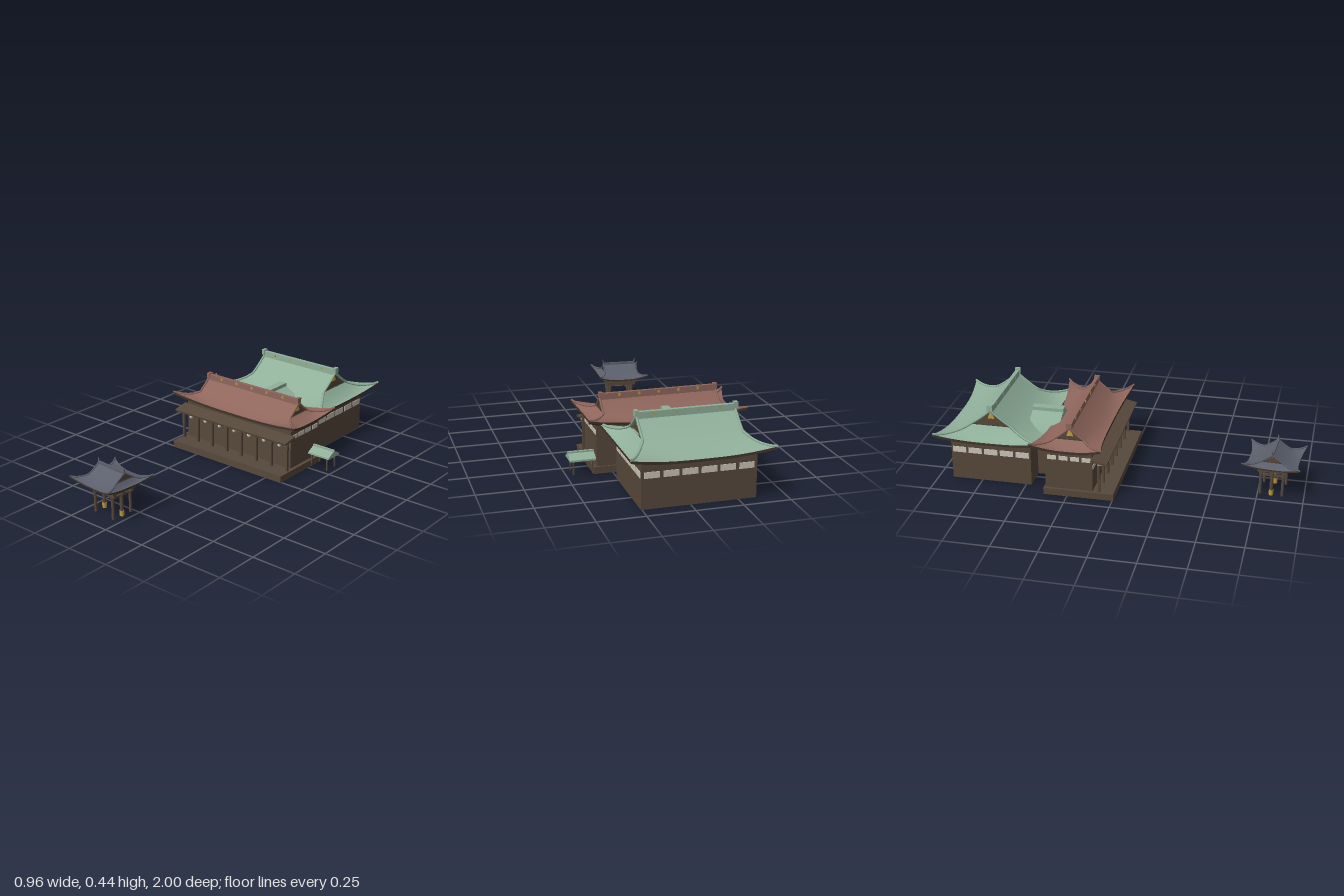
import * as THREE from 'three';

const mat = (name, color, side = THREE.FrontSide) => {
  const m = new THREE.MeshStandardMaterial({ color, side });
  m.name = name;
  return m;
};
const wood = mat('brown wood', 0x57483b);
const darkWood = mat('dark wood', 0x403429, THREE.DoubleSide);
const redTile = mat('red roof', 0x8f665c, THREE.DoubleSide);
const greenTile = mat('green roof', 0x90b09a, THREE.DoubleSide);
const slateTile = mat('slate roof', 0x5c606c, THREE.DoubleSide);
const gold = mat('gold', 0xb8983f);
const plaster = mat('white plaster', 0xccc5b8);

function add(parent, name, geo, material, x = 0, y = 0, z = 0) {
  const m = new THREE.Mesh(geo, material);
  m.name = name;
  m.position.set(x, y, z);
  parent.add(m);
  return m;
}

// Box given by its extents on each axis
function box(parent, name, material, [x0, x1], [y0, y1], [z0, z1]) {
  return add(parent, name, new THREE.BoxGeometry(x1 - x0, y1 - y0, z1 - z0), material,
    (x0 + x1) / 2, (y0 + y1) / 2, (z0 + z1) / 2);
}

function group(parent, name, x = 0, y = 0, z = 0) {
  const g = new THREE.Group();
  g.name = name;
  g.position.set(x, y, z);
  parent.add(g);
  return g;
}

// Smooth grid surface; fn(a, b) gives a point for a, b in 0..1
function patch(parent, name, material, fn, na, nb) {
  const pos = [], idx = [];
  for (let i = 0; i <= na; i++) for (let j = 0; j <= nb; j++) {
    pos.push(...fn(i / na, j / nb));
    if (i < na && j < nb) {
      const p = i * (nb + 1) + j, q = p + nb + 1;
      idx.push(p, q, p + 1, p + 1, q, q + 1);
    }
  }
  const g = new THREE.BufferGeometry();
  g.setAttribute('position', new THREE.Float32BufferAttribute(pos, 3));
  g.setIndex(idx);
  g.computeVertexNormals();
  return add(parent, name, g, material);
}

// Curved hip-and-gable roof with lifted corners, ridge along x.
// gx: gable half width, ex/ez: eave half sizes, ix/iz: wall half sizes
function makeRoof(parent, name, material, o) {
  const g = group(parent, name, 0, 0, o.z);
  const { gx, ex, ez, t0, flare, lift, ridgeY, eaveY, ix, iz, thick } = o;
  const grow = t => Math.max(0, (t - t0) / (1 - t0));
  const Y = t => eaveY + (ridgeY - eaveY) * Math.pow(1 - t, 1.55);
  const X = t => gx + (ex - gx) * grow(t);
  const D = t => ez * t;
  const bend = (t, u) => Math.pow(Math.abs(u), 3) * grow(t) ** 2;
  const longPt = (t, u, s) => {
    const k = bend(t, u);
    return [s * u * (X(t) + flare * k), Y(t) + lift * k, s * (D(t) + flare * k)];
  };
  const shortPt = (t, u, s) => {
    const k = bend(t, u);
    return [s * (X(t) + flare * k), Y(t) + lift * k, -s * u * (D(t) + flare * k)];
  };
  for (const s of [1, -1]) {
    const sides = [[longPt, 0, u => [s * u * ix, s * iz]], [shortPt, t0, u => [s * ix, -s * u * iz]]];
    for (const [pt, start, inner] of sides) {
      const down = (t, u) => { const p = pt(t, u, s); p[1] -= thick; return p; };
      if (start === 0)
        patch(g, 'upperSlope', material, (a, b) => pt(a * t0, b * 2 - 1, s), 8, 2);
      patch(g, 'lowerSlope', material, (a, b) => pt(t0 + a * (1 - t0), b * 2 - 1, s), 10, 20);
      patch(g, 'eaveEdge', darkWood, (a, b) => a ? down(1, b * 2 - 1) : pt(1, b * 2 - 1, s), 1, 20);
      patch(g, 'soffit', darkWood, (a, b) => {
        const u = b * 2 - 1, p = down(1, u), [x, z] = inner(u);
        return [p[0] + (x - p[0]) * a, p[1] + (eaveY - thick + 0.004 - p[1]) * a, p[2] + (z - p[2]) * a];
      }, 4, 20);
    }
    // Gable wall with a gilded ornament
    patch(g, 'gable', wood, (a, b) => [s * (gx - 0.012), Y(a * t0) - 0.002, -s * (b * 2 - 1) * D(a * t0)], 8, 2);
    if (o.ornament) {
      const orn = add(g, 'gableOrnament', new THREE.CylinderGeometry(0.012, 0.026, 0.03, 4).rotateY(Math.PI / 4),
        gold, s * (gx - 0.01), o.ornament, 0);
      orn.scale.x = 0.2;
    }
    // Descending ribs along gable edges and hips
    for (const e of [1, -1]) {
      const pts = [];
      for (let i = 0; i <= 14; i++) {
        const t = i / 14, k = grow(t) ** 2;
        pts.push(new THREE.Vector3(s * (X(t) + flare * k), Y(t) + lift * k + o.rib * 0.4, e * (D(t) + flare * k)));
      }
      add(g, 'hipRib', new THREE.TubeGeometry(new THREE.CatmullRomCurve3(pts), 28, o.rib, 6), material);
    }
  }
  box(g, 'ceiling', darkWood, [-ix, ix], [eaveY - thick, eaveY - thick + 0.008], [-iz, iz]);
  box(g, 'ridge', material, [-gx, gx], [ridgeY - 0.012, o.ridgeTop], [-o.ridgeW, o.ridgeW]);
  return g;
}

// Ridge end blocks and gold studs on both faces of the ridge
function dressRidge(roof, material, endX, y0, y1, studs, studY, size, w) {
  for (const s of [1, -1]) {
    box(roof, 'ridgeEnd', material, [s * endX - 0.01, s * endX + 0.01], [y0, y1], [-0.015, 0.015]);
    for (const x of studs)
      add(roof, 'ridgeStud', new THREE.BoxGeometry(size, size, 0.004), gold, x, studY, s * (w + 0.001));
  }
}

// Gable roof cross-section with concave slopes, extruded along z from 0 to length
function gableGeometry(half, eave, ridge, power, length) {
  const curve = [];
  for (let i = -8; i <= 8; i++)
    curve.push(new THREE.Vector2(half * i / 8, eave + (ridge - eave) * Math.pow(1 - Math.abs(i) / 8, power)));
  const under = [new THREE.Vector2(half, eave - 0.01), new THREE.Vector2(-half, eave - 0.01)];
  return new THREE.ExtrudeGeometry(new THREE.Shape([...curve, ...under]), { depth: length, bevelEnabled: false });
}

function buildFrontHall(root) {
  const g = group(root, 'frontHall', -0.04);
  box(g, 'platform', wood, [-0.39, 0.395], [0, 0.038], [-0.38, 0.005]);
  box(g, 'hallWalls', wood, [-0.375, 0.375], [0.038, 0.262], [-0.37, -0.11]);
  // Porch: posts, beam, pent roof and wall panels
  const step = 0.75 / 7;
  for (let i = 0; i < 8; i++) {
    const x = -0.375 + i * step;
    box(g, 'porchPost', wood, [x - 0.007, x + 0.007], [0.038, 0.215], [-0.082, -0.068]);
    if (i === 7) break;
    box(g, 'frontPanel', plaster, [x + 0.01, x + step - 0.01], [0.165, 0.192], [-0.111, -0.107]);
    const lamp = add(g, 'lantern', new THREE.SphereGeometry(0.01, 12, 8), plaster, x + step / 2, 0.18, -0.075);
    lamp.scale.y = 1.3;
  }
  box(g, 'porchBeam', wood, [-0.385, 0.385], [0.192, 0.207], [-0.081, -0.069]);
  const pent = add(g, 'pentRoof', new THREE.BoxGeometry(0.8, 0.012, 0.09), wood, 0, 0.224, -0.07);
  pent.rotation.x = 0.2;
  for (const s of [1, -1]) {
    box(g, 'beamCap', gold, [s * 0.378 - 0.008, s * 0.378 + 0.008], [0.203, 0.212], [-0.08, -0.058]);
    for (let i = 0; i < 4; i++)
      add(g, 'sidePanel', new THREE.BoxGeometry(0.004, 0.025, 0.05), plaster, s * 0.376, 0.222, -0.143 - i * 0.063);
  }
  const roof = makeRoof(g, 'redRoof', redTile, {
    z: -0.245, gx: 0.325, ex: 0.4, ez: 0.16, t0: 0.5, flare: 0.035, lift: 0.04, ridgeY: 0.375, eaveY: 0.274,
    ix: 0.37, iz: 0.125, thick: 0.014, rib: 0.006, ridgeTop: 0.399, ridgeW: 0.01, ornament: 0.343 });
  dressRidge(roof, redTile, 0.32, 0.378, 0.405, [-0.22, -0.11, 0, 0.11, 0.22], 0.387, 0.014, 0.01);
}

function buildRearHall(root) {
  const g = group(root, 'rearHall', -0.045);
  // Four thin walls, open underneath
  for (const s of [1, -1]) {
    box(g, 'endWall', wood, [s * 0.295 - 0.005, s * 0.295 + 0.005], [0, 0.246], [-0.92, -0.47]);
    const z = -0.695 + s * 0.22;
    box(g, 'longWall', wood, [-0.29, 0.29], [0, 0.246], [z - 0.005, z + 0.005]);
    for (let i = 0; i < 5; i++)
      add(g, 'endPanel', new THREE.BoxGeometry(0.004, 0.033, 0.075), plaster, s * 0.301, 0.177, -0.517 - i * 0.089);
  }
  for (let i = 0; i < 6; i++)
    add(g, 'backPanel', new THREE.BoxGeometry(0.08, 0.033, 0.004), plaster, -0.245 + i * 0.098, 0.177, -0.921);
  const roof = makeRoof(g, 'greenRoof', greenTile, {
    z: -0.7, gx: 0.26, ex: 0.345, ez: 0.27, t0: 0.42, flare: 0.027, lift: 0.035, ridgeY: 0.405, eaveY: 0.252,
    ix: 0.29, iz: 0.215, thick: 0.014, rib: 0.007, ridgeTop: 0.431, ridgeW: 0.011, ornament: 0.372 });
  dressRidge(roof, greenTile, 0.262, 0.408, 0.44, [-0.174, -0.059, 0.056, 0.172], 0.418, 0.011, 0.011);
}

function buildPassage(root) {
  const g = group(root, 'passage', -0.04);
  box(g, 'passageWalls', wood, [-0.17, 0.17], [0, 0.25], [-0.475, -0.365]);
  add(g, 'passageRoof', gableGeometry(0.2, 0.255, 0.33, 1.6, 0.175), greenTile, 0, 0, -0.535);
  box(g, 'passageRidge', greenTile, [-0.022, 0.022], [0.315, 0.337], [-0.537, -0.358]);
}

function buildSidePorch(root) {
  const g = group(root, 'sidePorch', 0, 0, -0.322);
  const roof = add(g, 'sidePorchRoof', gableGeometry(0.052, 0.085, 0.112, 1, 0.14), greenTile, 0.34);
  roof.rotation.y = Math.PI / 2;
  box(g, 'sidePorchRidge', greenTile, [0.34, 0.482], [0.106, 0.118], [-0.006, 0.006]);
  box(g, 'sidePorchGable', wood, [0.35, 0.47], [0.07, 0.077], [-0.042, 0.042]);
  for (const x of [0.355, 0.46]) for (const s of [1, -1])
    box(g, 'sidePorchPost', wood, [x - 0.004, x + 0.004], [0, 0.08], [s * 0.037 - 0.004, s * 0.037 + 0.004]);
}

function buildGate(root) {
  const g = group(root, 'gate', -0.115, 0, 0.828);
  g.rotation.y = -0.07;
  const post = (name, m, r, y0, y1, x, z) =>
    add(g, name, new THREE.CylinderGeometry(r, r, y1 - y0, 12), m, x, (y0 + y1) / 2, z);
  for (const s of [1, -1]) {
    post('mainPost', wood, 0.01, 0, 0.165, s * 0.068, 0);
    post('postFoot', gold, 0.0125, 0, 0.03, s * 0.068, 0);
    for (const e of [1, -1]) post('sidePost', wood, 0.008, 0, 0.15, s * 0.068, e * 0.06);
    box(g, 'crossTie', wood, [s * 0.068 - 0.005, s * 0.068 + 0.005], [0.112, 0.124], [-0.07, 0.07]);
    box(g, 'frontBeam', wood, [-0.09, 0.09], [0.126, 0.146], [s * 0.06 - 0.008, s * 0.06 + 0.008]);
  }
  box(g, 'mainBeam', wood, [-0.09, 0.09], [0.126, 0.146], [-0.009, 0.009]);
  box(g, 'upperFrame', wood, [-0.097, 0.097], [0.146, 0.17], [-0.078, 0.078]);
  // Sagging rope across the opening
  const rope = new THREE.QuadraticBezierCurve3(new THREE.Vector3(-0.058, 0.118, 0.01),
    new THREE.Vector3(0, 0.086, 0.014), new THREE.Vector3(0.058, 0.118, 0.01));
  add(g, 'rope', new THREE.TubeGeometry(rope, 20, 0.0045, 8), gold);
  const roof = makeRoof(g, 'slateRoof', slateTile, {
    z: 0, gx: 0.098, ex: 0.128, ez: 0.134, t0: 0.45, flare: 0.021, lift: 0.026, ridgeY: 0.25, eaveY: 0.18,
    ix: 0.09, iz: 0.075, thick: 0.008, rib: 0.0045, ridgeTop: 0.258, ridgeW: 0.006 });
  for (const s of [1, -1]) {
    const horn = add(roof, 'ridgeHorn', new THREE.CylinderGeometry(0.002, 0.007, 0.034, 6), slateTile, s * 0.097, 0.262, 0);
    horn.rotation.z = -s * 0.3;
  }
}

export function createModel() {
  const root = new THREE.Group();
  root.name = 'shrineCompound';
  buildFrontHall(root);
  buildRearHall(root);
  buildPassage(root);
  buildSidePorch(root);
  buildGate(root);
  return root;
}
